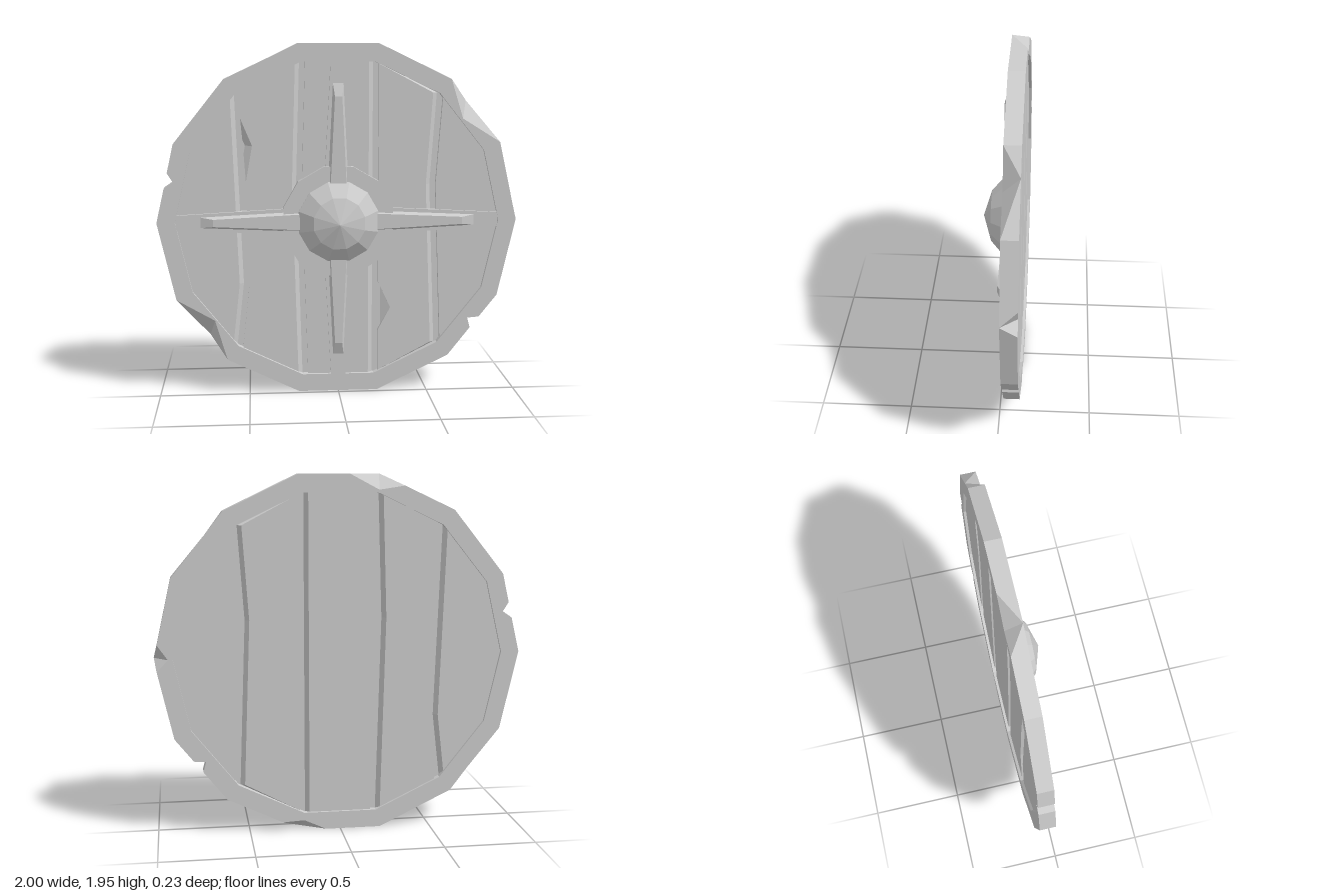
import * as THREE from 'three';

const SIDES = 14, R_IN = 0.9, CY = 0.975;
const STEP = (Math.PI * 2) / SIDES;
const material = new THREE.MeshStandardMaterial({ color: 0xcccccc, flatShading: true });
const corner = (k, r = 1) => [r * Math.cos(k * STEP), r * Math.sin(k * STEP)];

// Skins rings of [x, y, z] running counter-clockwise, back to front, with optional end caps
function loft(rings, caps = true) {
  const pos = [], n = rings[0].length;
  const mid = (p, q) => Math.hypot(p[0] + q[0], p[1] + q[1]);
  for (let r = 0; r < rings.length - 1; r++) {
    for (let i = 0; i < n; i++) {
      const j = (i + 1) % n;
      const a = rings[r][i], b = rings[r][j], c = rings[r + 1][j], d = rings[r + 1][i];
      // split along the outer diagonal so chipped corners stay convex
      const tris = mid(b, d) > mid(a, c) ? [a, b, d, b, c, d] : [a, b, c, a, c, d];
      tris.forEach((p) => pos.push(...p));
    }
  }
  if (caps) {
    [rings[0], rings[rings.length - 1]].forEach((ring, end) => {
      const flat = ring.map((p) => new THREE.Vector2(p[0], p[1]));
      for (const [a, b, c] of THREE.ShapeUtils.triangulateShape(flat, [])) {
        (end ? [a, b, c] : [a, c, b]).forEach((i) => pos.push(...ring[i]));
      }
    });
  }
  const geometry = new THREE.BufferGeometry();
  geometry.setAttribute('position', new THREE.Float32BufferAttribute(pos, 3));
  geometry.computeVertexNormals();
  return geometry;
}

const prism = (pts, z0, z1, top = pts) =>
  loft([pts.map(([x, y]) => [x, y, z0]), top.map(([x, y]) => [x, y, z1])]);

// Rim: a polygon ring whose edge has notches (n) and chips (front / back corner pulled in)
function rimGeometry() {
  const back = { 0: [0.925, 0], 4: [-0.21, 0.89], 11: [0.2, -0.92] };
  const extras = {
    0: [[0.981, 0.08]],
    1: [[0.69, 0.565, 0.72, 0.66]],
    3: [[-0.05, 0.975]],
    4: [[-0.35, 0.911]],
    6: [[-0.937, 0.275], [-0.905, 0.225], [-0.956, 0.19]],
    8: [[-0.69, -0.555, -0.72, -0.655]],
    10: [[0.08, -0.975]],
    11: [[0.32, -0.926]],
    12: [[0.75, -0.622], [0.735, -0.565], [0.8, -0.56]],
    13: [[0.985, -0.065]],
  };
  const edge = [];
  for (let k = 0; k < SIDES; k++) {
    const c = corner(k);
    edge.push([...c, ...(back[k] || c)]);
    (extras[k] || []).forEach(([x, y, bx = x, by = y]) => edge.push([x, y, bx, by]));
  }
  const inner = edge.map(([x, y]) => {
    const a = Math.atan2(y, x) + Math.PI * 2;
    const r = (R_IN * Math.cos(STEP / 2)) / Math.cos((a % STEP) - STEP / 2);
    return [r * Math.cos(a), r * Math.sin(a)];
  });
  const zB = -0.115, zF = -0.027;
  const outerBack = edge.map((p) => [p[2], p[3], zB]);
  return loft([
    outerBack,
    edge.map((p) => [p[0], p[1], zF]),
    inner.map(([x, y]) => [x, y, zF]),
    inner.map(([x, y]) => [x, y, zB]),
    outerBack,
  ], false);
}

// Half height of the inner polygon at x
function halfHeight(x) {
  let h = Infinity;
  for (let k = 0; k < SIDES / 2; k++) {
    const a = (k + 0.5) * STEP;
    h = Math.min(h, (R_IN * Math.cos(STEP / 2) - x * Math.cos(a)) / Math.sin(a));
  }
  return h;
}

// Crooked seams between the planks: x at top, bend and bottom, and bend height
const SEAMS = [
  { top: -0.59, mid: -0.55, bottom: -0.59, y: -0.35 },
  { top: -0.235, mid: -0.255, bottom: -0.225, y: 0.2 },
  { top: 0.17, mid: 0.17, bottom: 0.17, y: -0.2 },
  { top: 0.525, mid: 0.49, bottom: 0.525, y: 0.2 },
];
const SLOPE = 0.03, GAP = 0.055;

// Splinters knocked out of a plank's left edge, bottom to top: x, y, front inset
const SPLINTERS = {
  1: [[-0.508, 0.22, 0], [-0.522, 0.42, 0.05], [-0.535, 0.57, 0]],
  3: [[0.225, -0.63, 0], [0.225, -0.5, 0.07], [0.225, -0.35, 0]],
};

function plankGeometry(i) {
  const left = SEAMS[i - 1], right = SEAMS[i];
  const xl = left ? left.top + GAP : -2, xr = right ? right.top : 2;
  const corners = Array.from({ length: SIDES }, (_, k) => corner(k, R_IN))
    .filter(([x]) => x > xl + 0.01 && x < xr - 0.01);
  const pts = []; // x, y, inset on both faces, extra inset on the front
  const add = (x, y, s = 0, f = 0) => pts.push([x, y, s, f]);
  corners.filter((c) => c[1] < -0.01).sort((a, b) => a[0] - b[0]).forEach((c) => add(...c));
  if (right) {
    add(right.bottom + SLOPE, -halfHeight(right.bottom + SLOPE), -SLOPE);
    add(right.mid + SLOPE, right.y, -SLOPE);
    add(right.top + SLOPE, halfHeight(right.top + SLOPE), -SLOPE);
  } else add(R_IN, 0);
  corners.filter((c) => c[1] > 0.01).sort((a, b) => b[0] - a[0]).forEach((c) => add(...c));
  if (left) {
    const side = [[left.mid + GAP, left.y, 0], ...(SPLINTERS[i] || [])];
    add(left.top + GAP, halfHeight(left.top + GAP));
    side.sort((a, b) => b[1] - a[1]).forEach(([x, y, f]) => add(x, y, 0, f));
    add(left.bottom + GAP, -halfHeight(left.bottom + GAP));
  } else add(-R_IN, 0);
  return loft([
    pts.map(([x, y, s]) => [x + s, y, -0.1]),
    pts.map(([x, y]) => [x, y, -0.072]),
    pts.map(([x, y, s, f]) => [x + s + f, y, -0.045]),
  ]);
}

export function createModel() {
  const model = new THREE.Group();
  model.name = 'roundShield';
  const shield = new THREE.Group();
  shield.name = 'shieldBody';
  shield.position.y = CY;
  model.add(shield);
  const add = (name, geometry, turn = 0) => {
    const mesh = new THREE.Mesh(geometry, material);
    mesh.name = name;
    mesh.rotation.z = turn;
    shield.add(mesh);
  };

  add('rim', rimGeometry());

  // Planks over a thin core that closes the seams
  const core = Array.from({ length: SIDES }, (_, k) => corner(k, R_IN));
  add('seamCore', prism(core, -0.078, -0.066));
  for (let i = 0; i <= SEAMS.length; i++) add('plank' + (i + 1), plankGeometry(i));

  // Cross: flat straps level with the rim, each carrying a tapered raised spike
  const strap = [[0.1, -0.082], [0.895, -0.04], [0.895, 0.04], [0.1, 0.082]];
  const spikeBase = [[0.18, -0.058], [0.765, -0.03], [0.765, 0.03], [0.18, 0.058]];
  const spikeTop = [[0.18, -0.045], [0.69, -0.02], [0.69, 0.02], [0.18, 0.045]];
  for (let q = 0; q < 4; q++) {
    add('crossStrap', prism(strap, -0.07, -0.028), (q * Math.PI) / 2);
    add('crossSpike', prism(spikeBase, -0.03, 0, spikeTop), (q * Math.PI) / 2);
  }

  // Central collar and faceted boss
  const ring = (r, z) => Array.from({ length: 12 }, (_, i) => {
    const a = ((i + 0.5) * Math.PI) / 6;
    return [r * Math.cos(a), r * Math.sin(a), z];
  });
  add('bossCollar', loft([ring(0.315, -0.06), ring(0.315, -0.012)]));
  add('boss', loft([ring(0.228, -0.03), ring(0.228, -0.005), ring(0.145, 0.07), ring(0.001, 0.115)]));
  return model;
}
